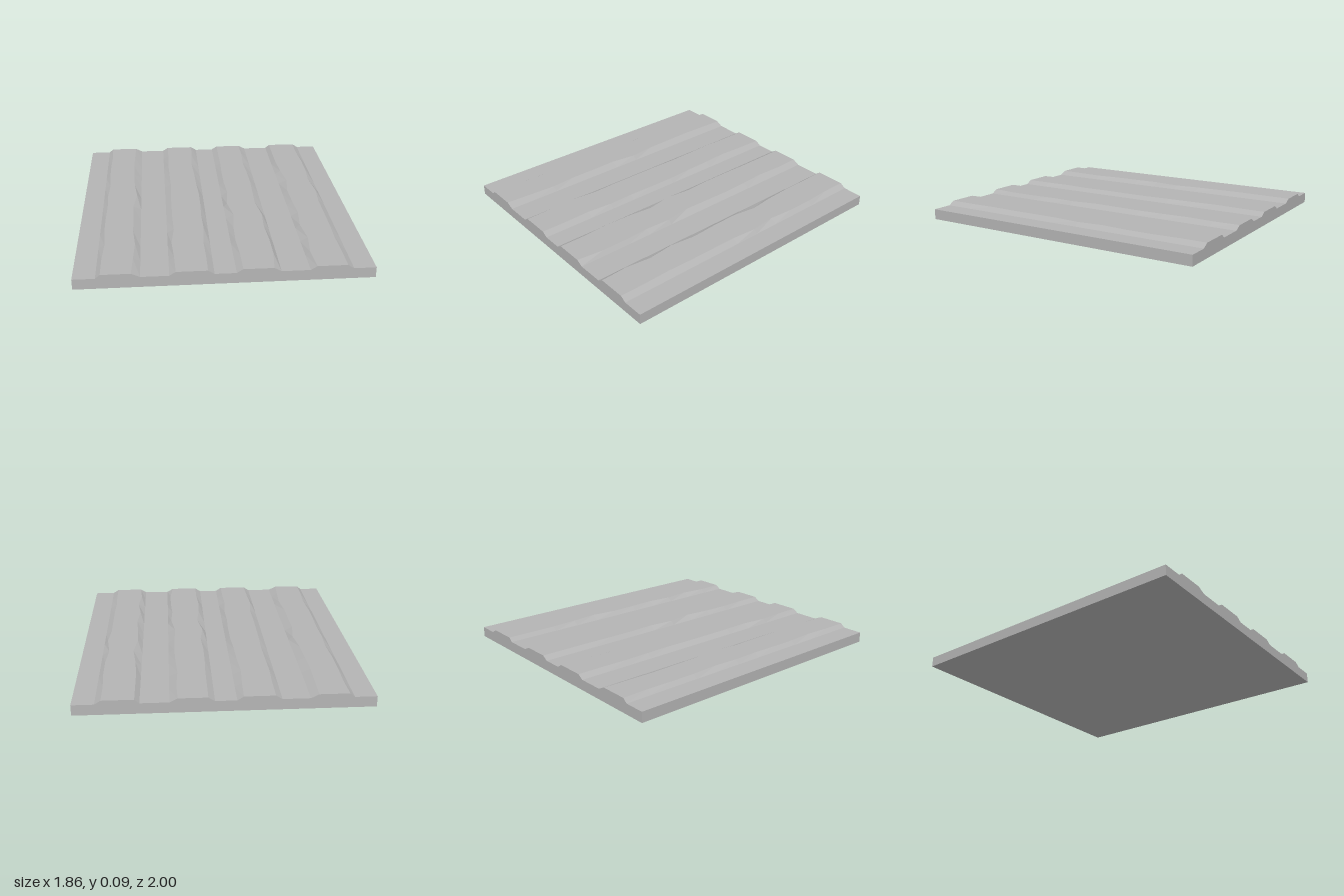
import * as THREE from 'three';

const BASE = 0.07, TOP = 0.095, ROWS = 12;

// Each raised plank: foot positions in x, and the bevel width (in hundredths)
// along its left and right sides from back to front.
const PLANKS = [
  { left: -0.79, right: -0.52,
    leftBevel: [3, 3.5, 3, 3, 4, 3, 3.5, 3, 3, 4, 3, 3],
    rightBevel: [5, 5.5, 6, 5.5, 5, 3, 5.5, 5, 5, 3.5, 4.5, 5.5] },
  { left: -0.345, right: -0.07,
    leftBevel: [4, 4, 3.5, 4, 4.5, 4, 4, 4, 4.5, 2.5, 3.5, 4],
    rightBevel: [4, 4.5, 5.5, 4.5, 4, 3, 3, 3.5, 3, 4.5, 4, 4] },
  { left: 0.065, right: 0.34,
    leftBevel: [4, 4, 4, 3.5, 3.5, 4.5, 2.5, 5.5, 3.5, 3, 4, 4],
    rightBevel: [5, 4.5, 5.5, 4.5, 4, 4.5, 5, 2.5, 3.5, 2.5, 2.5, 4.5] },
  { left: 0.52, right: 0.79,
    leftBevel: [3, 3, 3, 4, 6, 3.5, 4, 5, 3, 5, 3, 4],
    rightBevel: [4, 4, 3, 3, 4.5, 2.5, 4, 4, 4, 4.5, 4, 4] },
];

// Loft a trapezoid section along z, with flat facets and closed ends
function plankGeometry({ left, right, leftBevel, rightBevel }) {
  const pos = [], index = [];
  for (let i = 0; i < ROWS; i++) {
    const z = -1 + (2 * i) / (ROWS - 1);
    pos.push(left, BASE, z, left + leftBevel[i] / 100, TOP, z,
      right - rightBevel[i] / 100, TOP, z, right, BASE, z);
  }
  for (let i = 0; i < ROWS - 1; i++) {
    for (let k = 0; k < 3; k++) {
      const a = i * 4 + k, b = a + 1, c = a + 5, d = a + 4;
      index.push(a, d, c, a, c, b);
    }
  }
  const e = (ROWS - 1) * 4;
  index.push(e, e + 3, e + 2, e, e + 2, e + 1); // front end
  index.push(0, 2, 3, 0, 1, 2); // back end
  const indexed = new THREE.BufferGeometry();
  indexed.setAttribute('position', new THREE.Float32BufferAttribute(pos, 3));
  indexed.setIndex(index);
  const geometry = indexed.toNonIndexed();
  geometry.computeVertexNormals();
  return geometry;
}

export function createModel() {
  const group = new THREE.Group();
  group.name = 'plankFloorTile';
  const grey = new THREE.MeshStandardMaterial({ color: 0xb4b4b4 });
  grey.name = 'grey';

  // Flat slab under the planks
  const slab = new THREE.Mesh(new THREE.BoxGeometry(1.86, BASE, 2), grey);
  slab.name = 'baseSlab';
  slab.position.y = BASE / 2;
  group.add(slab);

  // Raised planks with worn, uneven edges
  PLANKS.forEach((spec, i) => {
    const plank = new THREE.Mesh(plankGeometry(spec), grey);
    plank.name = `raisedPlank${i + 1}`;
    group.add(plank);
  });
  return group;
}
